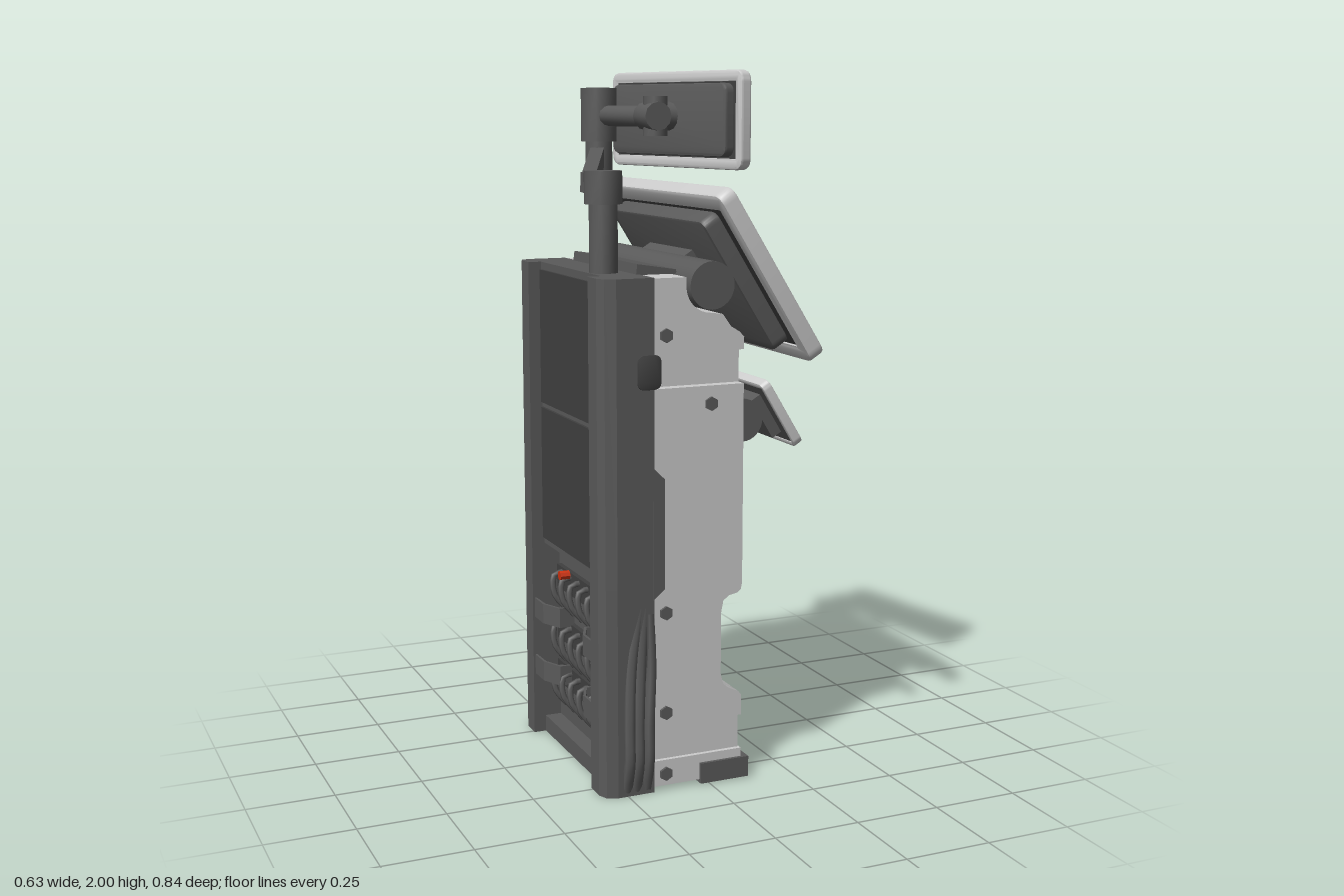
import * as THREE from 'three';
import { mergeGeometries, toCreasedNormals } from 'three/addons/utils/BufferGeometryUtils.js';

const light = new THREE.MeshStandardMaterial({ color: 0xcccccc });
const dark = new THREE.MeshStandardMaterial({ color: 0x5a5a5a });
const black = new THREE.MeshStandardMaterial({ color: 0x404040 });
const red = new THREE.MeshStandardMaterial({ color: 0xcc3311 });

function add(parent, name, geo, mat, x = 0, y = 0, z = 0) {
  const m = new THREE.Mesh(geo, mat);
  m.name = name;
  m.position.set(x, y, z);
  parent.add(m);
  return m;
}
// Box given by its limits
function block(parent, name, mat, x0, x1, y0, y1, z0, z1) {
  return add(parent, name, new THREE.BoxGeometry(x1 - x0, y1 - y0, z1 - z0), mat, (x0 + x1) / 2, (y0 + y1) / 2, (z0 + z1) / 2);
}
const poly = pts => new THREE.Shape(pts.map(p => new THREE.Vector2(p[0], p[1])));
const crease = g => toCreasedNormals(g, 0.6);
// Side profile (x, y) extruded from z0 to z1
function slab(pts, z0, z1) {
  const g = new THREE.ExtrudeGeometry(poly(pts), { depth: z1 - z0, bevelEnabled: false });
  return crease(g.translate(0, 0, z0));
}
// Plan outline (x, z) extruded from y0 to y1
function column(pts, y0, y1) {
  const g = new THREE.ExtrudeGeometry(poly(pts), { depth: y1 - y0, bevelEnabled: false });
  return g.rotateX(Math.PI / 2).translate(0, y1, 0);
}
function cyl(r, h, axis = 'y', n = 24) {
  const g = new THREE.CylinderGeometry(r, r, h, n);
  if (axis === 'z') g.rotateX(Math.PI / 2);
  if (axis === 'x') g.rotateZ(-Math.PI / 2);
  return crease(g);
}
function roundRect(w, h, r, target = new THREE.Shape()) {
  const x = w / 2, y = h / 2;
  target.moveTo(-x + r, -y).lineTo(x - r, -y).quadraticCurveTo(x, -y, x, -y + r);
  target.lineTo(x, y - r).quadraticCurveTo(x, y, x - r, y).lineTo(-x + r, y);
  target.quadraticCurveTo(-x, y, -x, y - r).lineTo(-x, -y + r).quadraticCurveTo(-x, -y, -x + r, -y);
  return target;
}
// Rounded plate centred on its thickness, with an optional opening
function plate(w, h, d, r, border = 0, b = 0.008) {
  const s = roundRect(w - 2 * b, h - 2 * b, r);
  if (border) s.holes.push(roundRect(w - 2 * border, h - 2 * border, 0.004, new THREE.Path()));
  const g = new THREE.ExtrudeGeometry(s, { depth: d - 2 * b, bevelThickness: b, bevelSize: b, bevelSegments: 2, curveSegments: 6 });
  return crease(g.translate(0, 0, b - d / 2));
}
// Group whose +z faces forward (+x), turned by yaw and leaned back by tilt
function facing(parent, name, x, y, z, yaw, tilt) {
  const g = new THREE.Group();
  g.name = name;
  g.position.set(x, y, z);
  g.rotation.set(-tilt, yaw, 0, 'YXZ');
  parent.add(g);
  return g;
}
function monitor(g, w, h, d, border, backW, backH, backD) {
  add(g, 'bezel', plate(w, h, d, 0.025, border), light);
  add(g, 'screen', new THREE.BoxGeometry(w - 2 * border + 0.01, h - 2 * border + 0.01, d * 0.5), black, 0, 0, -d * 0.12);
  add(g, 'rearHousing', plate(backW, backH, backD + 0.01, 0.02), dark, 0, 0, -(d + backD) / 2 + 0.005);
}
function tube(pts, r, n = 6, seg = 16) {
  const c = new THREE.CatmullRomCurve3(pts.map(p => new THREE.Vector3(...p)));
  return new THREE.TubeGeometry(c, seg, r, n);
}
// Straight bar between two points, h tall and w wide
function bar(parent, name, a, b, h, w) {
  const A = new THREE.Vector3(...a), B = new THREE.Vector3(...b);
  const m = add(parent, name, new THREE.BoxGeometry(w, h, A.distanceTo(B)), dark);
  m.position.copy(A).add(B).multiplyScalar(0.5);
  m.lookAt(B);
}

function makeCabinet(root) {
  const g = new THREE.Group();
  g.name = 'cabinet';
  root.add(g);
  // Front edge of the body, bottom to top
  const low = [[0.1, 0.015], [0.1, 0.09]];
  const mid = [[0.1, 0.19], [0.1, 0.25], [0.09, 0.262], [0.06, 0.275], [0.043, 0.29], [0.035, 0.32], [0.035, 0.5],
    [0.042, 0.535], [0.06, 0.548], [0.085, 0.553], [0.096, 0.562], [0.1, 0.58], [0.1, 1.15]];
  const top = [[0.1, 1.245], [0.1, 1.28], [0.085, 1.295], [0.06, 1.31], [0.035, 1.345]];
  for (let i = 0; i <= 8; i++) {
    const a = -Math.PI / 2 - i * Math.PI / 16;
    top.push([0.075 * Math.cos(a), 1.425 + 0.075 * Math.sin(a)]);
  }
  top.push([-0.075, 1.45]);
  const close = edge => [[-0.18, edge[0][1]], ...edge, [-0.18, edge[edge.length - 1][1]]];
  add(g, 'bodyCore', slab(close([...low, ...mid, ...top]), -0.305, 0.305), light);
  for (const s of [-1, 1]) {
    const z = (a, b) => s > 0 ? [a, b] : [-b, -a];
    // Side skins leave grip grooves between them
    for (const edge of [low, mid, top]) add(g, 'sideSkin', slab(close(edge), ...z(0.3, 0.338)), light);
    block(g, 'lowerGroove', light, -0.17, 0.096, 0.08, 0.2, ...z(0.3, 0.325));
    add(g, 'gripEnd', plate(0.07, 0.095, 0.006, 0.02, 0, 0.002), black, -0.185, 1.197, s * 0.341);
    add(g, 'sideTrim', slab([[-0.175, 0.56], [-0.14, 0.59], [-0.14, 0.9], [-0.175, 0.935]], ...z(0.33, 0.343)), dark);
    for (const [x, y] of [[-0.135, 1.295], [0, 1.1], [-0.135, 0.52], [-0.135, 0.23], [-0.135, 0.05]])
      add(g, 'sideBolt', cyl(0.02, 0.012, 'z', 6), dark, x, y, s * 0.34);
    for (const [y, bz] of [[0.925, 0.272], [0.59, 0.258], [0.21, 0.21]])
      add(g, 'frontBolt', cyl(0.02, 0.012, 'x', 6), dark, 0.102, y, s * bz);
    block(g, 'frontSocket', dark, 0.09, 0.106, 0.08, 0.12, ...z(0.21, 0.25));
    // Drawer pulls
    for (const [y0, y1] of [[0.8, 0.91], [0.6, 0.705]]) {
      for (const y of [y0, y1]) block(g, 'pullFoot', dark, 0.1, 0.145, y - 0.007, y + 0.007, ...z(0.205, 0.222));
      block(g, 'pullGrip', dark, 0.131, 0.145, y0, y1, ...z(0.205, 0.222));
    }
    // Hoses bulging from the flanks
    for (const x of [-0.25, -0.222, -0.19])
      add(g, 'sideHose', tube([[x / 2 - 0.085, 0.54, s * 0.325], [x + 0.012, 0.38, s * 0.335], [x, 0.2, s * 0.35],
        [x, 0.1, s * 0.352], [x, 0.015, s * 0.328]], 0.016), dark);
  }
  // Front drawers and inset square
  block(g, 'upperDrawer', dark, 0.09, 0.106, 0.75, 0.98, -0.213, 0.213);
  block(g, 'lowerDrawer', dark, 0.09, 0.106, 0.59, 0.725, -0.213, 0.213);
  add(g, 'portFrame', plate(0.16, 0.16, 0.02, 0.004, 0.018, 0.003), dark, 0.04, 0.412, 0.145).rotation.y = Math.PI / 2;
  block(g, 'portCover', dark, 0.03, 0.044, 0.345, 0.48, 0.08, 0.21);
  // Foot plate and underside
  block(g, 'footPlate', dark, -0.03, 0.12, 0.005, 0.065, -0.348, 0.348);
  block(g, 'underside', dark, -0.2, 0, 0.006, 0.02, -0.3, 0.3);
  add(g, 'topPanel', slab([[-0.18, 1.44], [-0.055, 1.44], [-0.06, 1.462], [-0.175, 1.48]], -0.245, 0.235), dark);
  return g;
}

function makeRear(root) {
  const g = new THREE.Group();
  g.name = 'rearHousing';
  root.add(g);
  const half = x => [[-0.17, 0.34], [-0.28, 0.34], [-0.31, 0.328], [-0.322, 0.3], [-0.322, 0.24], [x, 0.24]];
  const outline = x => [...half(x), ...half(x).reverse().map(([a, b]) => [a, -b])];
  add(g, 'upperShell', column(outline(-0.283), 0.6, 1.452), dark);
  add(g, 'lowerShell', column(outline(-0.235), 0, 0.6), dark);
  block(g, 'upperRearPanel', black, -0.291, -0.27, 1.035, 1.43, -0.23, 0.23);
  block(g, 'lowerRearPanel', black, -0.291, -0.27, 0.62, 1.02, -0.23, 0.23);
  block(g, 'rearSill', dark, -0.285, -0.2, 0, 0.05, -0.24, 0.24);
  // Connector rows with drooping cables
  for (const y of [0.5, 0.34, 0.2]) {
    block(g, 'connectorRail', black, -0.25, -0.23, y - 0.035, y + 0.035, -0.22, 0.22);
    for (let i = 0; i < 6; i++) {
      const z = -0.175 + i * 0.07;
      add(g, 'cable', tube([[-0.24, y + 0.02, z], [-0.275, y + 0.015, z], [-0.28, y - 0.04, z + 0.01], [-0.245, y - 0.09, z + 0.02]], 0.009, 6, 8), dark);
      if (y === 0.5 && (i === 1 || i === 5)) add(g, 'redPlug', cyl(0.014, 0.03, 'x', 8), red, -0.27, y + 0.03, z);
    }
  }
  // Cable hooks
  for (const s of [-1, 1]) for (const y of [0.4, 0.22]) {
    const pts = [[-0.31, 0.25], [-0.316, 0.25], [-0.316, 0.165], [-0.287, 0.1], [-0.24, 0.1], [-0.24, 0.108], [-0.282, 0.108], [-0.308, 0.167]];
    add(g, 'cableHook', column(pts.map(([x, z]) => [x, s * z]), y - 0.03, y + 0.03), dark);
  }
}

function makeKeyboard(root) {
  const g = facing(root, 'keyboardTray', 0.208, 1.06, 0, Math.PI / 2, 0.55);
  add(g, 'trayBack', new THREE.BoxGeometry(0.62, 0.13, 0.035), dark, 0, 0, -0.025);
  for (const [name, x, w] of [['keyboard', -0.11, 0.51], ['keypad', 0.255, 0.15]]) {
    add(g, name, plate(w, 0.215, 0.028, 0.018, 0.012, 0.004), light, x);
    add(g, name + 'Deck', new THREE.BoxGeometry(w - 0.02, 0.195, 0.018), dark, x, 0, -0.002);
  }
  const keys = [];
  const key = (x, y, w, h) => keys.push(new THREE.BoxGeometry(w, h, 0.01).translate(x, y, 0.011));
  for (let r = 0; r < 5; r++) for (let c = 0; c < 17; c++) {
    if (r === 0 && c > 4 && c < 10) continue;
    key(-0.328 + c * 0.027 + (r % 2) * 0.004, -0.068 + r * 0.026, 0.021, 0.019);
  }
  key(-0.145, -0.068, 0.12, 0.019);
  for (let c = 0; c < 12; c++) key(-0.32 + c * 0.035 + Math.floor(c / 4) * 0.015, 0.078, 0.022, 0.012);
  for (let r = 0; r < 2; r++) for (let c = 0; c < 4; c++) key(0.21 + c * 0.03, 0.045 + r * 0.027, 0.022, 0.018);
  add(g, 'keys', mergeGeometries(keys), black);
  add(g, 'trackballRing', new THREE.TorusGeometry(0.038, 0.007, 6, 12), black, 0.255, -0.035, 0.01);
  add(g, 'trackball', new THREE.SphereGeometry(0.026, 16, 10), black, 0.255, -0.035, 0.008);
}

function makeArm(root) {
  const g = new THREE.Group();
  g.name = 'monitorArm';
  root.add(g);
  // Lower post and elbow
  add(g, 'lowerPost', cyl(0.04, 0.22, 'y', 12), dark, -0.24, 1.55, 0.15);
  add(g, 'lowerCollar', cyl(0.053, 0.09, 'y', 12), dark, -0.24, 1.685, 0.15);
  bar(g, 'armElbow', [-0.235, 1.685, 0.15], [-0.235, 1.695, 0.03], 0.055, 0.05);
  bar(g, 'lowerArm', [-0.237, 1.695, 0.04], [-0.1, 1.76, -0.24], 0.055, 0.04);
  // Upper post and link to the small monitor
  add(g, 'upperPost', cyl(0.04, 0.12, 'y', 12), dark, -0.093, 1.77, -0.25);
  add(g, 'upperCollar', cyl(0.053, 0.155, 'y', 12), dark, -0.093, 1.878, -0.25);
  const link = add(g, 'upperArm', cyl(0.03, 0.27, 'z', 12), dark, -0.06, 1.875, -0.11);
  link.rotation.y = 0.22;
  add(g, 'swivelHub', cyl(0.035, 0.11, 'y', 12), dark, -0.03, 1.875, 0.025);
  add(g, 'swivelPin', cyl(0.04, 0.09, 'z', 12), dark, -0.04, 1.875, 0.025);
  add(g, 'mountStub', cyl(0.04, 0.07, 'x', 12), dark, 0.0, 1.875, 0.02);
}

export function createModel() {
  const root = new THREE.Group();
  root.name = 'controlConsole';
  makeCabinet(root);
  makeRear(root);
  // Hinge rollers for the main monitor and the keyboard
  add(root, 'monitorHinge', cyl(0.066, 0.69, 'z', 32), dark, 0, 1.425, 0);
  add(root, 'keyboardHinge', cyl(0.06, 0.67, 'z', 32), dark, 0.1, 1.045, 0);
  const main = facing(root, 'mainMonitor', 0.147, 1.45, 0, Math.PI / 2, 0.562);
  monitor(main, 0.838, 0.545, 0.05, 0.042, 0.66, 0.43, 0.045);
  add(main, 'hingeBracket', new THREE.BoxGeometry(0.3, 0.12, 0.06), dark, 0, 0.05, -0.085);
  makeKeyboard(root);
  makeArm(root);
  const small = facing(root, 'upperMonitor', 0.055, 1.865, -0.005, 1.764, 0);
  monitor(small, 0.64, 0.27, 0.036, 0.024, 0.56, 0.2, 0.025);
  return root;
}
